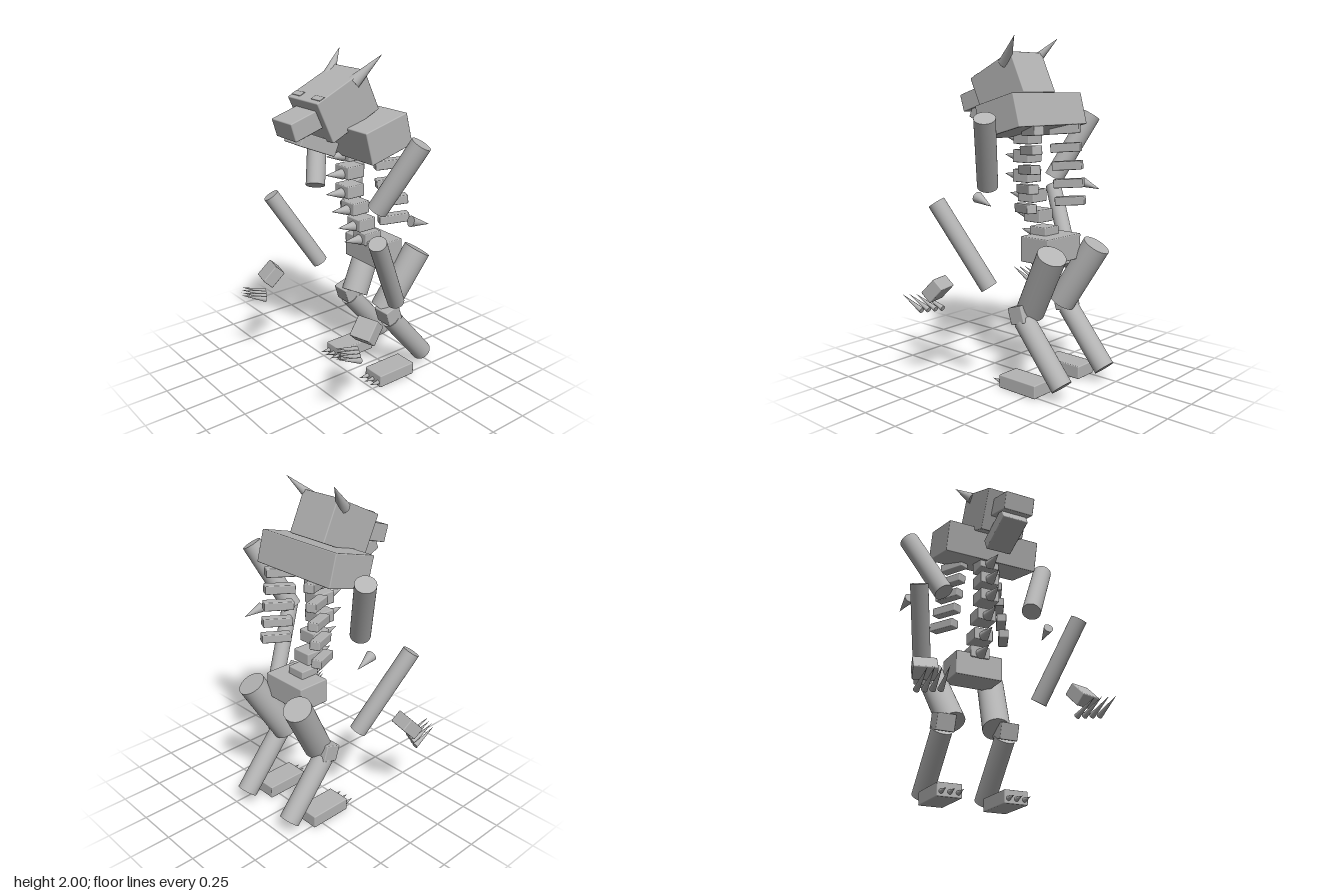
import * as THREE from 'three';
import { RoundedBoxGeometry } from 'three/addons/geometries/RoundedBoxGeometry.js';

const grey = new THREE.MeshStandardMaterial({ color: 0xb4b4b4 });
grey.name = 'stone grey';
const rad = THREE.MathUtils.degToRad;
const UP = new THREE.Vector3(0, 1, 0);

export function createModel() {
  const model = new THREE.Group();
  model.name = 'hornedBeast';

  const add = (name, geometry, parent = model) => {
    const mesh = new THREE.Mesh(geometry, grey);
    mesh.name = name;
    parent.add(mesh);
    return mesh;
  };

  // Softly bevelled block; rotation in degrees, yaw applied before pitch
  const block = (name, size, pos, rot = [0, 0, 0], parent = model) => {
    const bevel = Math.min(0.006, Math.min(...size) * 0.2);
    const mesh = add(name, new RoundedBoxGeometry(...size, 2, bevel), parent);
    mesh.position.set(...pos);
    mesh.rotation.set(rad(rot[0]), rad(rot[1]), rad(rot[2]), 'YXZ');
    return mesh;
  };

  // Cylinder or cone running from point a to point b
  const limb = (name, a, b, rA, rB = rA) => {
    const from = new THREE.Vector3(...a);
    const dir = new THREE.Vector3(...b).sub(from);
    const mesh = add(name, new THREE.CylinderGeometry(rB, rA, dir.length(), 32));
    mesh.position.copy(from).addScaledVector(dir, 0.5);
    mesh.quaternion.setFromUnitVectors(UP, dir.normalize());
    return mesh;
  };
  const spike = (name, a, b, r) => limb(name, a, b, r, 0);

  // Head, snout and open jaw
  const head = block('head', [0.274, 0.25, 0.35], [0, 1.733, 0.093], [25, 0, 0]);
  block('snout', [0.185, 0.106, 0.22], [0, 1.658, 0.32], [17, 0, 0]);
  block('lowerJaw', [0.16, 0.08, 0.248], [0, 1.536, 0.246], [-23, 0, 0]);

  // Torso
  block('chest', [0.597, 0.19, 0.296], [0, 1.563, -0.061], [15, 0, 0]);
  block('pelvis', [0.3, 0.148, 0.2], [0, 0.81, -0.203]);

  // Curved spine, each vertebra with a forward spike: [y, z]
  const spine = [[0.893, -0.152], [0.99, -0.107], [1.102, -0.06],
    [1.214, -0.02], [1.328, -0.02], [1.435, -0.025]];
  for (const [y, z] of spine) {
    block('vertebra', [0.122, 0.074, 0.12], [0, y, z]);
    spike('spineSpike', [0, y - 0.012, z + 0.055], [0, y, z + 0.175], 0.032);
  }

  for (const s of [-1, 1]) {
    // Eye plate and horn-like ear
    block('eye', [0.08, 0.007, 0.037], [s * 0.09, 0.125, 0.131], [0, 0, 0], head);
    spike('ear', [s * 0.115, 1.855, 0.045], [s * 0.187, 2, -0.092], 0.038);

    // Ribs flare outward toward the bottom
    for (let i = 0; i < 5; i++) {
      block('rib', [0.06, 0.052, 0.178],
        [s * (0.142 + 0.0145 * i), 1.481 - 0.1057 * i, -0.185], [4, -s * 25, 0]);
    }

    // Arm
    limb('upperArm', [s * 0.466, 1.558, -0.134], [s * 0.291, 1.172, 0.018], 0.059);
    spike('elbowSpike', [s * 0.465, 1.137, -0.075], [s * 0.482, 1.1, -0.195], 0.031);
    limb('forearm', [s * 0.512, 1.088, 0.2], [s * 0.37, 0.622, -0.065], 0.05);
    block('hand', [0.13, 0.08, 0.122], [s * 0.478, 0.58, 0.241], [46, s * 15, 0]);

    // Staggered finger claws
    for (let i = 0; i < 4; i++) {
      const k = i - 1.5;
      spike('fingerClaw', [s * 0.474 + k * 0.036, 0.447, 0.264 + i * 0.02],
        [s * 0.486 + k * 0.031, 0.515, 0.425 + i * 0.021], 0.017);
    }

    // Leg
    limb('thigh', [s * 0.204, 0.815, -0.378], [s * 0.143, 0.457, -0.172], 0.083);
    block('knee', [0.115, 0.1, 0.102], [s * 0.2, 0.45, -0.16], [18, 0, 0]);
    limb('shin', [s * 0.2, 0.41, -0.177], [s * 0.2, 0.087, -0.45], 0.062);

    // Foot with three toe claws
    block('foot', [0.147, 0.078, 0.27], [s * 0.2, 0.041, -0.18]);
    for (let i = -1; i <= 1; i++) {
      spike('toeClaw', [s * 0.2 + i * 0.05, 0.03, -0.05],
        [s * 0.2 + i * 0.05, 0.036, 0.025], 0.014);
    }
  }
  return model;
}
